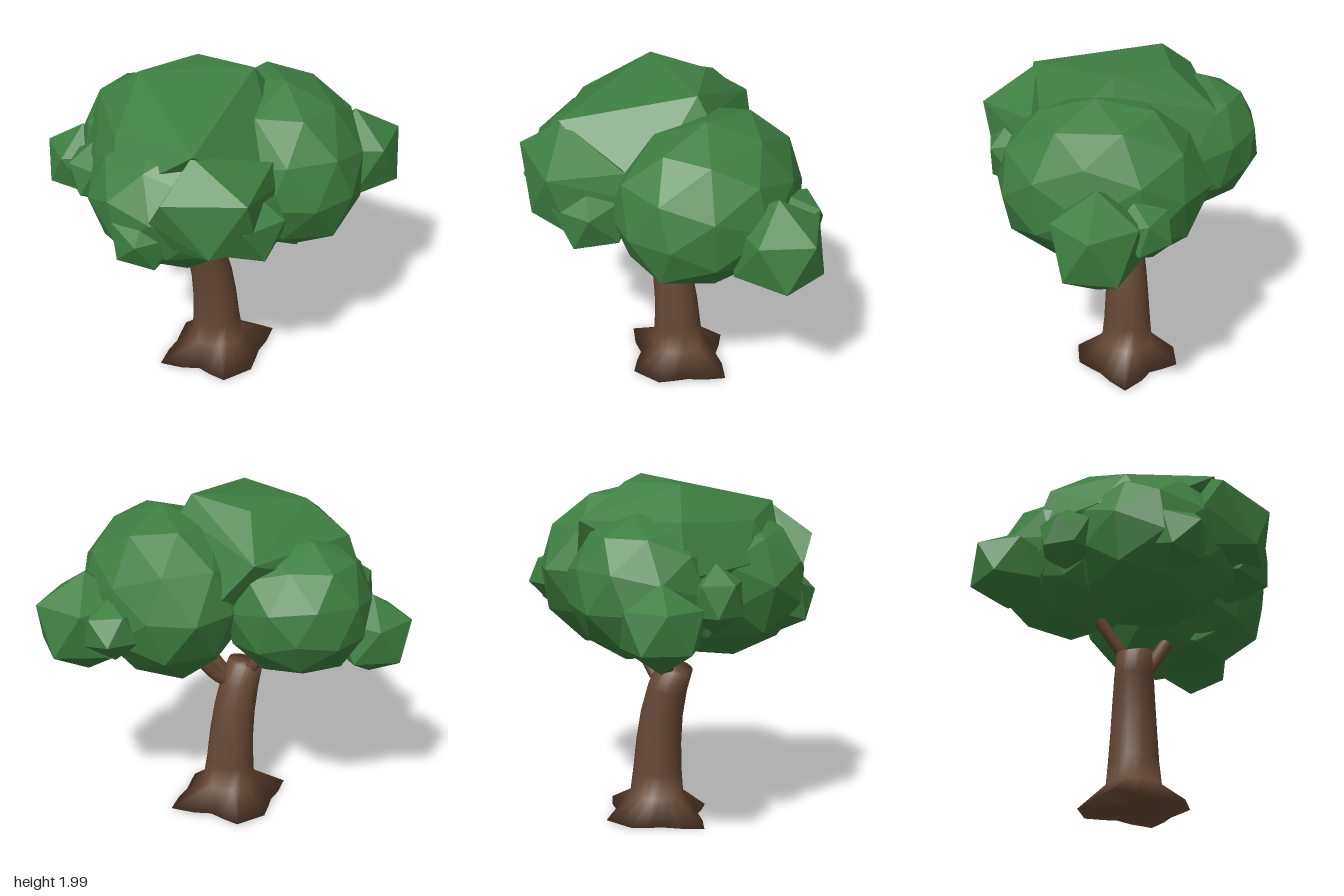
import * as THREE from 'three';
import { ConvexGeometry } from 'three/addons/geometries/ConvexGeometry.js';

const leafGreen = new THREE.MeshStandardMaterial({ color: 0x3d7f40, flatShading: true });
leafGreen.name = 'leafGreen';
const barkBrown = new THREE.MeshStandardMaterial({ color: 0x654734 });
barkBrown.name = 'barkBrown';

function addMesh(group, name, geometry, material) {
  const mesh = new THREE.Mesh(geometry, material);
  mesh.name = name;
  group.add(mesh);
  return mesh;
}

// Icosphere with a vertical pole and an upper-ring corner at +x, turned, tilted and slightly uneven
function leafClump(detail, [rx, ry, rz], turn, tilt, jitter) {
  const geo = new THREE.IcosahedronGeometry(1, detail);
  geo.rotateZ(Math.PI / 2 - Math.atan((1 + Math.sqrt(5)) / 2));
  geo.rotateY(Math.PI + turn);
  geo.rotateX(tilt);
  const p = geo.attributes.position;
  for (let i = 0; i < p.count; i++) {
    const x = p.getX(i), y = p.getY(i), z = p.getZ(i);
    const k = 1 + jitter * Math.sin(5.1 * x + 3.3 * y + 7.7 * z + turn * 9);
    p.setXYZ(i, x * rx * k, y * ry * k, z * rz * k);
  }
  geo.computeVertexNormals();
  return geo;
}

// Trunk lofted from a star of roots up through a leaning, tapering stem
function trunkGeometry() {
  const star = [[-7, 0.388], [29, 0.265], [65, 0.31], [100, 0.328], [135, 0.24]];
  const roots = [];
  for (const half of [0, 180]) {
    for (const [deg, r] of star) roots.push([THREE.MathUtils.degToRad(deg + half), r]);
  }
  const outline = [];
  roots.forEach(([a, r], i) => {
    const last = i === roots.length - 1;
    const [b, s] = roots[(i + 1) % roots.length];
    const end = last ? b + Math.PI * 2 : b;
    const mx = (Math.cos(a) * r + Math.cos(end) * s) / 2;
    const mz = (Math.sin(a) * r + Math.sin(end) * s) / 2;
    outline.push([a, r], [(a + end) / 2, Math.hypot(mx, mz)]);
  });
  // each ring: x, y, z, radius (0 = root outline), slope of the ring
  const rings = [
    [-0.115, 0.01, -0.07, 0, 0.02], [-0.115, 0.14, -0.07, 0.157, 0.0],
    [-0.122, 0.28, -0.07, 0.143, 0.03], [-0.13, 0.45, -0.067, 0.132, 0.08],
    [-0.15, 0.62, -0.06, 0.122, 0.15], [-0.185, 0.78, -0.045, 0.112, 0.22],
    [-0.23, 0.905, -0.025, 0.1, 0.28],
  ];
  const n = outline.length, pos = [], index = [];
  for (const [cx, cy, cz, radius, slope] of rings) {
    for (const [a, r] of outline) {
      const x = Math.cos(a) * (radius || r), z = Math.sin(a) * (radius || r);
      pos.push(cx + x, cy + slope * x, cz + z);
    }
  }
  for (let i = 0; i < rings.length - 1; i++) {
    for (let j = 0; j < n; j++) {
      const a = i * n + j, b = i * n + (j + 1) % n;
      index.push(a, a + n, b, b, a + n, b + n);
    }
  }
  // closed underside and top
  const bottom = pos.length / 3, top = bottom + 1, first = (rings.length - 1) * n;
  pos.push(...rings[0].slice(0, 3), ...rings[rings.length - 1].slice(0, 3));
  for (let j = 0; j < n; j++) {
    const k = (j + 1) % n;
    index.push(bottom, j, k, top, first + k, first + j);
  }
  const geo = new THREE.BufferGeometry();
  geo.setAttribute('position', new THREE.Float32BufferAttribute(pos, 3));
  geo.setIndex(index);
  geo.computeVertexNormals();
  return geo;
}

export function createModel() {
  const tree = new THREE.Group();
  tree.name = 'tree';
  addMesh(tree, 'trunk', trunkGeometry(), barkBrown);

  // Branches reaching into the leaves
  const branches = [
    ['backBranch', 0.036, [[-0.21, 0.84, -0.06], [-0.29, 0.98, -0.14], [-0.38, 1.14, -0.23]]],
    ['frontBranch', 0.04, [[-0.14, 0.8, 0], [-0.06, 0.91, 0.03], [0.06, 1.1, 0.08]]],
    ['sideBranch', 0.038, [[-0.15, 0.78, -0.04], [-0.05, 0.845, -0.04], [0.04, 0.95, -0.04], [0.14, 1.1, -0.04]]],
  ];
  for (const [name, radius, pts] of branches) {
    const curve = new THREE.CatmullRomCurve3(pts.map((p) => new THREE.Vector3(...p)));
    addMesh(tree, name, new THREE.TubeGeometry(curve, 8, radius, 10), barkBrown);
  }

  // Broad crown and front bough, each a hull with large facets
  const hulls = {
    crownLeaves: [
      [-0.5, 1.965, -0.21], [-0.14, 1.965, -0.31], [0.1, 1.99, -0.02], [0.17, 1.89, -0.03],
      [-0.41, 1.84, 0.54], [-0.07, 1.76, -0.57], [-0.7, 1.78, -0.36], [-0.72, 1.77, 0.12],
      [0.12, 1.5, 0.46], [0.15, 1.45, -0.44], [-0.82, 1.55, 0.0], [-0.8, 1.5, 0.28],
      [-0.79, 1.5, -0.4], [-0.05, 1.1, 0.2], [-0.3, 1.06, -0.1],
    ],
    frontLeaves: [
      [-0.62, 1.66, 0.66], [-0.2, 1.66, 0.8], [-0.4, 1.35, 0.77], [-0.66, 1.5, 0.56],
      [-0.41, 1.83, 0.52], [0.05, 1.68, 0.46], [0.06, 1.55, 0.5], [-0.12, 1.32, 0.72],
      [-0.6, 1.3, 0.5], [-0.3, 1.2, 0.4], [-0.4, 1.5, 0.2],
    ],
  };
  for (const [name, pts] of Object.entries(hulls)) {
    const points = pts.map((p) => new THREE.Vector3(...p));
    addMesh(tree, name, new ConvexGeometry(points), leafGreen);
  }

  // Leaf clumps: name, detail, centre, radii, turn, tilt, unevenness
  const clumps = [
    ['leftLeaves', 1, [0.25, 1.435, 0.03], [0.465, 0.49, 0.6], 0.3, 0.6, 0.03],
    ['backLeaves', 1, [-0.4, 1.42, -0.37], [0.42, 0.41, 0.44], 0.5, 0.3, 0.02],
    ['rightLeaves', 1, [-0.4, 1.42, 0.15], [0.49, 0.43, 0.5], 0.9, 0.5, 0.03],
    ['smallFrontLeaves', 0, [-0.13, 1.395, 0.55], [0.24, 0.24, 0.24], 0.55, 0.2, 0],
    ['smallLeftLeaves', 0, [0.72, 1.32, -0.03], [0.31, 0.3, 0.275], 0, 0, 0],
    ['smallBackLeaves', 0, [-0.78, 1.255, -0.55], [0.245, 0.235, 0.24], 0.1, 0, 0],
    ['smallRightLeaves', 0, [-0.79, 1.38, -0.2], [0.16, 0.19, 0.17], 0.7, 0, 0],
    ['lowRightLeaves', 0, [-0.65, 1.32, 0.39], [0.2, 0.21, 0.21], 0.4, 0.3, 0],
    ['backLeftLeaves', 0, [0.63, 1.36, -0.26], [0.18, 0.17, 0.18], 0.5, 0.3, 0],
    ['underLeaves', 0, [0.19, 1.16, 0.2], [0.22, 0.19, 0.24], 0.6, 0.5, 0],
  ];
  for (const [name, detail, centre, radii, turn, tilt, jitter] of clumps) {
    const geometry = leafClump(detail, radii, turn, tilt, jitter);
    addMesh(tree, name, geometry, leafGreen).position.set(...centre);
  }
  return tree;
}
